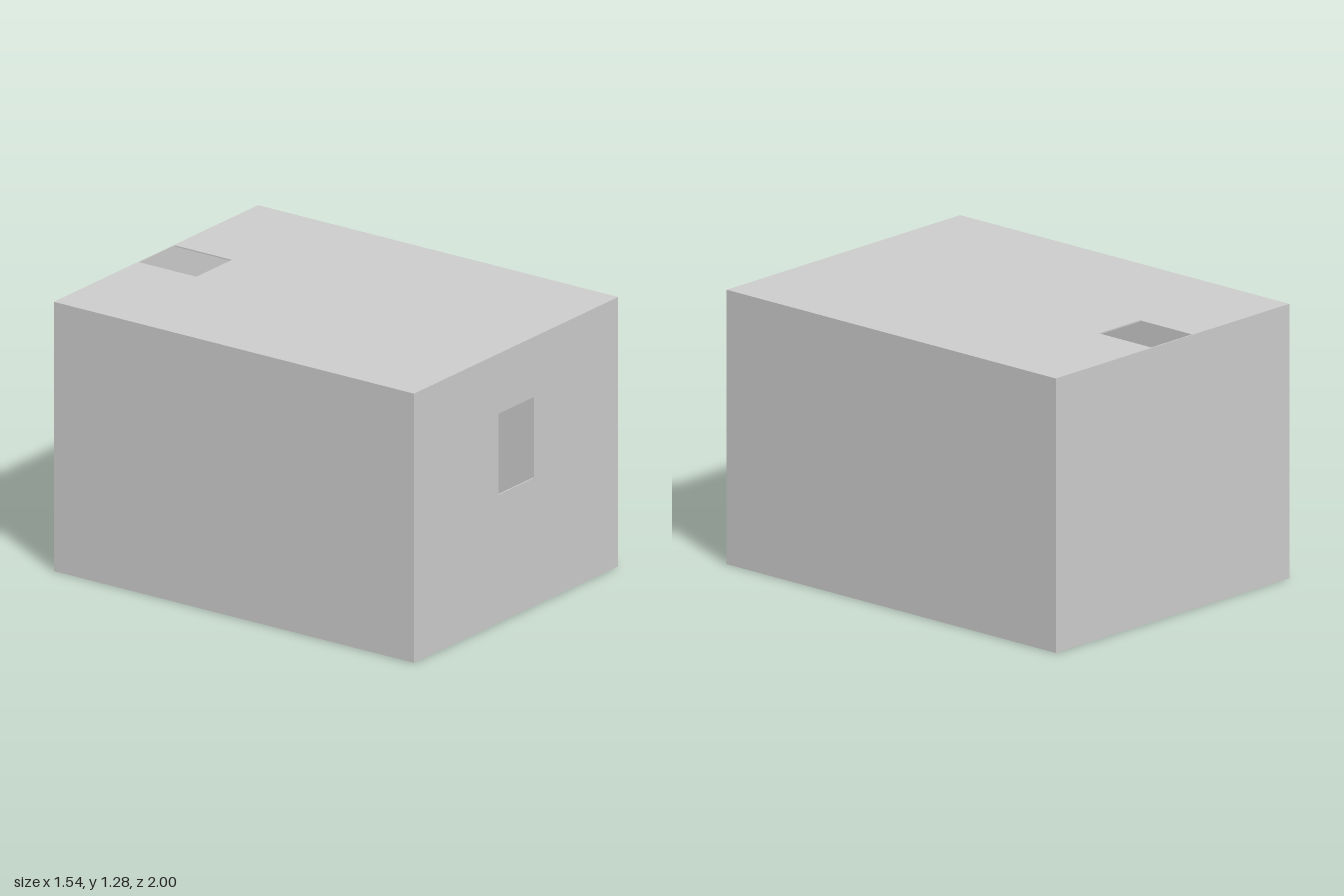
import * as THREE from 'three';

const W = 1.545, H = 1.285, D = 2, T = 0.006; // outer size and wall thickness

// Flat panel in the XY plane, extruded by T, with an optional rectangular opening
function panel(w, h, hole) {
  const rect = (Type, x0, y0, x1, y1) => new Type([
    new THREE.Vector2(x0, y0), new THREE.Vector2(x1, y0),
    new THREE.Vector2(x1, y1), new THREE.Vector2(x0, y1),
  ]);
  const shape = rect(THREE.Shape, -w / 2, -h / 2, w / 2, h / 2);
  if (hole) shape.holes.push(rect(THREE.Path, ...hole));
  return new THREE.ExtrudeGeometry(shape, { depth: T, bevelEnabled: false }).translate(0, 0, -T / 2);
}

export function createModel() {
  const group = new THREE.Group();
  const material = new THREE.MeshStandardMaterial({ color: 0xcccccc });
  const add = (name, geometry, x, y, z) => {
    const mesh = new THREE.Mesh(geometry, material);
    mesh.name = name;
    mesh.position.set(x, y, z);
    group.add(mesh);
  };

  // Floor, and walls standing between floor and roof
  const wallH = H - 2 * T;
  add('floor', new THREE.BoxGeometry(W, T, D), 0, T / 2, 0);
  add('backWall', new THREE.BoxGeometry(W, wallH, T), 0, H / 2, -D / 2 + T / 2);
  for (const [name, side] of [['leftWall', 1], ['rightWall', -1]]) {
    add(name, new THREE.BoxGeometry(T, wallH, D - 2 * T), side * (W - T) / 2, H / 2, 0);
  }

  // Front wall with its window
  const window = [-0.135, 0.612 - H / 2, 0.135, 0.998 - H / 2];
  add('frontWall', panel(W, wallH, window), 0, H / 2, D / 2 - T / 2);

  // Roof with a hatch against the back wall (panel y becomes -z)
  const hatch = [-0.135, 0.677, 0.135, D / 2 - T];
  add('roof', panel(W, D, hatch).rotateX(-Math.PI / 2), 0, H - T / 2, 0);

  return group;
}
